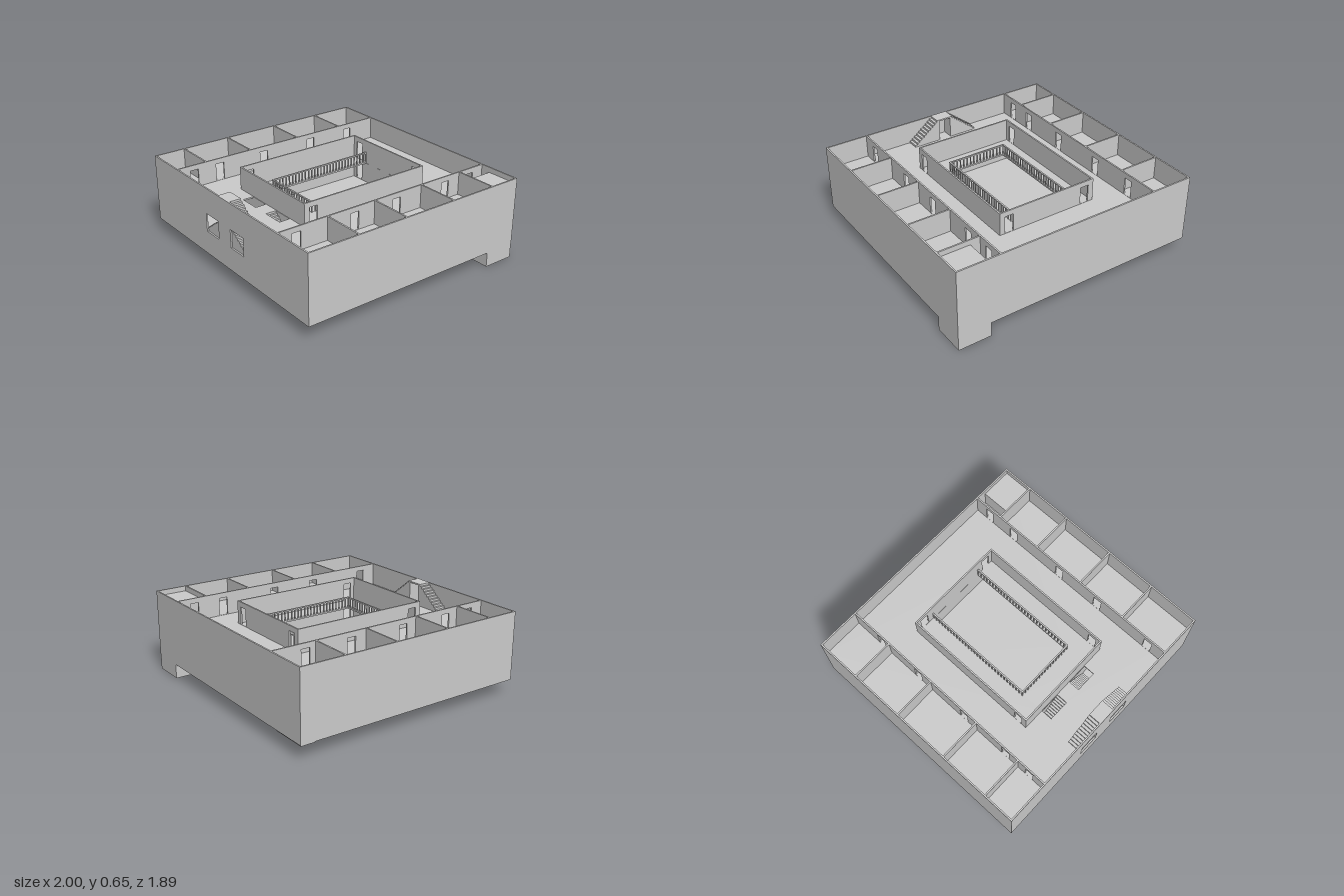
import * as THREE from 'three';

const mat = new THREE.MeshStandardMaterial({ color: 0xcccccc, flatShading: true, side: THREE.DoubleSide });
const T = 0.012; // wall thickness
const BASE = 0.115, MID = 0.295, UPPER = 0.47, TOP = 0.65;

function add(parent, name, geo) {
  const m = new THREE.Mesh(geo, mat);
  m.name = name;
  parent.add(m);
  return m;
}

// Box given by its extents on each axis
function box(parent, name, x0, x1, y0, y1, z0, z1) {
  const m = add(parent, name, new THREE.BoxGeometry(x1 - x0, y1 - y0, z1 - z0));
  m.position.set((x0 + x1) / 2, (y0 + y1) / 2, (z0 + z1) / 2);
  return m;
}

function rect(path, a0, b0, a1, b1) {
  path.moveTo(a0, b0);
  path.lineTo(a1, b0);
  path.lineTo(a1, b1);
  path.lineTo(a0, b1);
  path.closePath();
  return path;
}

// Rectangular plate with rectangular holes, [a0, b0, a1, b1] each
function plate(a0, b0, a1, b1, holes, depth) {
  const s = rect(new THREE.Shape(), a0, b0, a1, b1);
  for (const h of holes) s.holes.push(rect(new THREE.Path(), ...h));
  return new THREE.ExtrudeGeometry(s, { depth, bevelEnabled: false });
}

// Wall running along x or z, centred on "at", with openings [from, y0, to, y1]
function wall(parent, name, axis, at, from, to, y0, y1, holes = []) {
  if (axis === 'x') {
    add(parent, name, plate(from, y0, to, y1, holes, T)).position.z = at - T / 2;
  } else {
    const flipped = holes.map(([a, b, c, d]) => [-c, b, -a, d]);
    const m = add(parent, name, plate(-to, y0, -from, y1, flipped, T));
    m.rotation.y = Math.PI / 2;
    m.position.x = at - T / 2;
  }
}

const door = (c, y) => [c - 0.035, y + 0.002, c + 0.035, y + 0.14];

// Horizontal slab with its upper face at y
function slab(parent, name, x0, z0, x1, z1, y, holes = [], t = 0.012) {
  const m = add(parent, name, plate(x0, z0, x1, z1, holes, t));
  m.rotation.x = Math.PI / 2;
  m.position.y = y;
}

// Solid flight rising from x = outer toward x = inner, on the side s
function stairs(parent, name, s, outer, inner, y0, y1, z0, z1, n = 11) {
  const shape = new THREE.Shape();
  const run = (outer - inner) / n, rise = (y1 - y0) / n;
  shape.moveTo(s * inner, y0);
  shape.lineTo(s * outer, y0);
  for (let i = 0; i < n; i++) {
    shape.lineTo(s * (outer - i * run), y0 + (i + 1) * rise);
    shape.lineTo(s * (outer - (i + 1) * run), y0 + (i + 1) * rise);
  }
  shape.closePath();
  add(parent, name, new THREE.ExtrudeGeometry(shape, { depth: z1 - z0, bevelEnabled: false })).position.z = z0;
}

// Railing with balusters between two floor points
function railing(parent, x0, z0, x1, z1, y, h = 0.08) {
  const g = new THREE.Group();
  g.name = 'railing';
  const dx = x1 - x0, dz = z1 - z0, len = Math.hypot(dx, dz);
  const rail = add(g, 'handrail', new THREE.BoxGeometry(len + 0.01, 0.01, 0.012));
  rail.position.set((x0 + x1) / 2, y + h, (z0 + z1) / 2);
  rail.rotation.y = Math.atan2(-dz, dx);
  const n = Math.round(len / 0.03);
  for (let i = 0; i <= n; i++) {
    const x = x0 + dx * i / n, z = z0 + dz * i / n;
    box(g, 'baluster', x - 0.004, x + 0.004, y, y + h, z - 0.004, z + 0.004);
  }
  parent.add(g);
}

export function createModel() {
  const house = new THREE.Group();
  house.name = 'house';
  const X = 1, Z = 0.945, e = T / 2;

  // Outer shell with two front windows
  const windows = [[-0.245, 0.3, -0.08, 0.445], [0.08, 0.3, 0.245, 0.445]];
  wall(house, 'frontWall', 'x', Z - e, -X, X, BASE, TOP, windows);
  wall(house, 'backWall', 'x', -Z + e, -X, X, BASE, TOP);
  for (const s of [-1, 1]) wall(house, 'sideWall', 'z', s * (X - e), -Z, Z, BASE, TOP);

  // Floors: base, courtyard level, and upper gallery with its openings
  slab(house, 'baseFloor', -X, -Z, X, Z, BASE + T);
  slab(house, 'middleFloor', -X + e, -Z + e, X - e, Z - e, MID);
  slab(house, 'upperFloor', -X + e, -Z + e, X - e, Z - e, UPPER, [
    [-0.24, -0.55, 0.24, 0.355],
    [-0.235, 0.548, -0.05, 0.635],
    [0.05, 0.548, 0.235, 0.635],
  ]);

  // Corner shaft reaching down to the ground, and the shallow corner footing
  box(house, 'cornerShaft', 0.738, X - 0.001, 0, 0.61, -Z + 0.001, -0.69);
  box(house, 'cornerFooting', -X + 0.005, -0.71, BASE - 0.008, BASE, -Z + 0.005, -0.83);

  // Rooms along both sides, repeated on each storey
  const sides = [
    { s: -1, splits: [-0.585, -0.16, 0.29, 0.69], doors: [-0.67, -0.29, 0.17, 0.575, 0.8] },
    { s: 1, splits: [-0.695, -0.315, 0.12, 0.53], doors: [-0.8, -0.55, -0.08, 0.3, 0.79] },
  ];
  for (const [y0, y1] of [[MID, UPPER - T], [UPPER, TOP]]) {
    const storey = new THREE.Group();
    storey.name = y0 === MID ? 'middleStorey' : 'upperStorey';
    house.add(storey);
    for (const { s, splits, doors } of sides) {
      wall(storey, 'corridorWall', 'z', s * 0.655, -Z + T, Z - T, y0, y1, doors.map(d => door(d, y0)));
      const [a, b] = s < 0 ? [-X + T, -0.655] : [0.655, X - T];
      for (const z of splits) wall(storey, 'roomDivider', 'x', z, a, b, y0, y1);
    }
    // Courtyard enclosure
    wall(storey, 'courtyardBackWall', 'x', -0.555, -0.41, 0.41, y0, y1, [door(-0.33, y0), door(0.33, y0)]);
    wall(storey, 'courtyardFrontWall', 'x', 0.538, -0.41, 0.41, y0, y1);
    for (const s of [-1, 1]) {
      wall(storey, 'courtyardSideWall', 'z', s * 0.404, -0.55, 0.533, y0, y1, [door(0.465, y0)]);
      // Flights against the front wall
      stairs(storey, 'frontStairs', s, 0.28, 0.05, y0, y1, 0.84, Z - T);
    }
    box(storey, 'stairLanding', -0.05, 0.05, y1 - 0.012, y1, 0.84, Z - T);
  }

  // Inner flights descending from the upper floor, and the gallery railings
  for (const s of [-1, 1]) {
    stairs(house, 'innerStairs', s, 0.235, 0.05, MID, UPPER, 0.546, 0.635);
    railing(house, s * 0.245, -0.545, s * 0.245, 0.36, UPPER);
  }
  railing(house, -0.245, 0.36, 0.245, 0.36, UPPER);

  return house;
}
